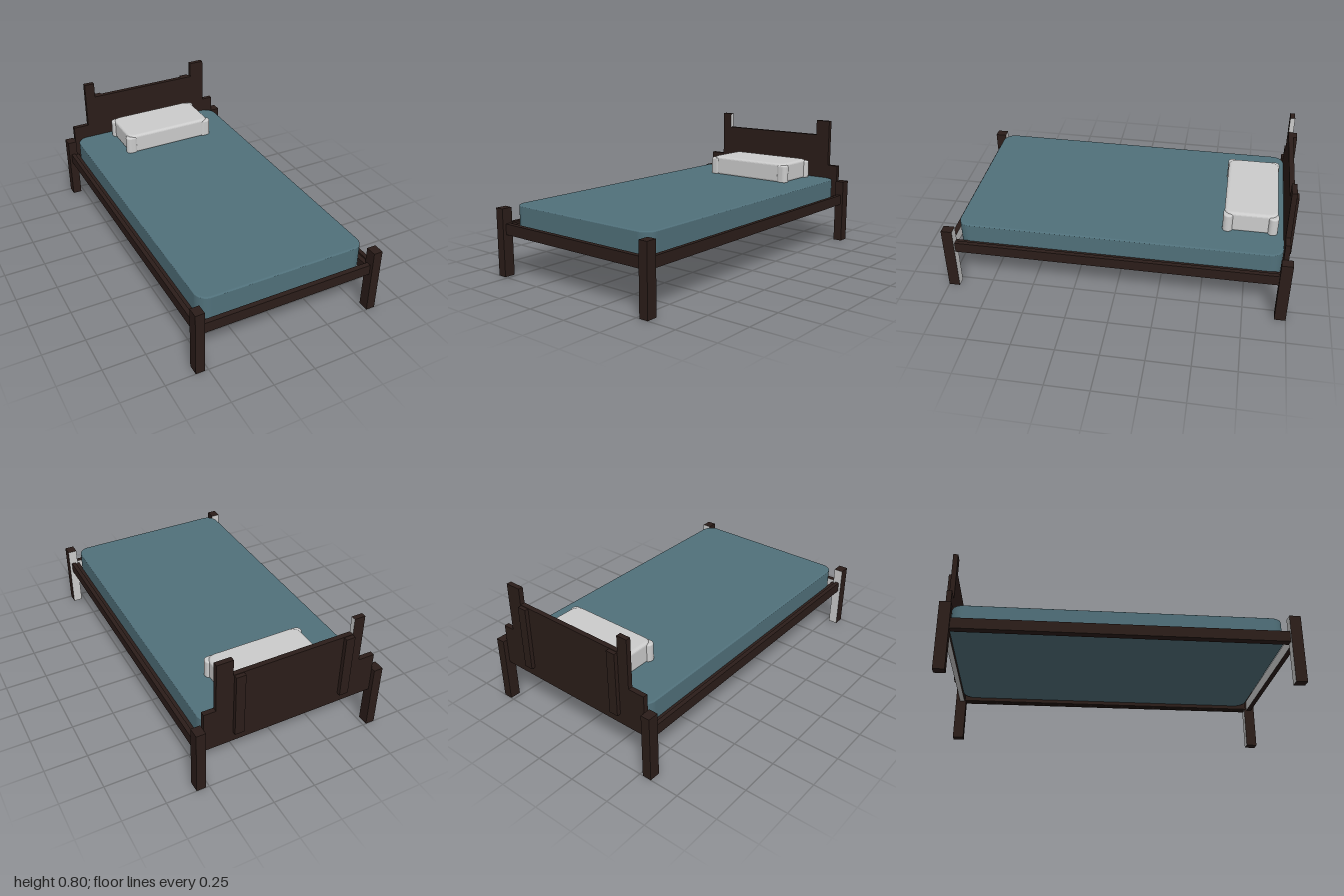
import * as THREE from 'three';

const wood = new THREE.MeshStandardMaterial({ color: 0x2b1d19 });
const teal = new THREE.MeshStandardMaterial({ color: 0x50707a });
const grey = new THREE.MeshStandardMaterial({ color: 0xcccccc });

// Box faces in material order, so single sides can stay unpainted
const SIDES = ['+x', '-x', '+y', '-y', '+z', '-z'];

// Wooden box from its minimum to its maximum corner
function board(name, [x0, y0, z0], [x1, y1, z1], bare = []) {
  const geo = new THREE.BoxGeometry(x1 - x0, y1 - y0, z1 - z0);
  const mat = bare.length ? SIDES.map((s) => (bare.includes(s) ? grey : wood)) : wood;
  const mesh = new THREE.Mesh(geo, mat);
  mesh.name = name;
  mesh.position.set((x0 + x1) / 2, (y0 + y1) / 2, (z0 + z1) / 2);
  return mesh;
}

// Padded block standing on y = 0: rounded plan (radius r) with softened edges
function padded(name, [w, h, d], r, [inset, drop], material) {
  const x = w / 2 - inset, y = d / 2 - inset;
  const plan = new THREE.Shape();
  plan.absarc(x - r, y - r, r, 0, Math.PI / 2);
  plan.absarc(-x + r, y - r, r, Math.PI / 2, Math.PI);
  plan.absarc(-x + r, -y + r, r, Math.PI, Math.PI * 1.5);
  plan.absarc(x - r, -y + r, r, Math.PI * 1.5, Math.PI * 2);
  plan.closePath();
  const geo = new THREE.ExtrudeGeometry(plan, {
    depth: h - 2 * drop, bevelEnabled: true, bevelSize: inset, bevelThickness: drop,
    bevelSegments: 4, curveSegments: 8,
  });
  geo.rotateX(-Math.PI / 2).translate(0, drop, 0);
  const mesh = new THREE.Mesh(geo, material);
  mesh.name = name;
  return mesh;
}

function createFrame() {
  const frame = new THREE.Group();
  frame.name = 'frame';
  for (const [side, s] of [['left', 1], ['right', -1]]) {
    const span = (a, b) => (s > 0 ? [a, b] : [-b, -a]);
    const [p0, p1] = span(0.52, 0.575);
    const [r0, r1] = span(0.535, 0.56);
    const [l0, l1] = span(0.508, 0.535);
    frame.add(
      board(side + 'FrontLeg', [p0, 0, 0.935], [p1, 0.4, 1], ['-z']),
      board(side + 'BackLeg', [p0, 0, -1], [p1, 0.4, -0.935]),
      board(side + 'SideRail', [r0, 0.247, -0.94], [r1, 0.31, 0.94]),
      board(side + 'MattressLedge', [l0, 0.25, -0.94], [l1, 0.3, 0.94])
    );
  }
  frame.add(board('footRail', [-0.53, 0.247, 0.95], [0.53, 0.31, 0.98], ['-z']));
  return frame;
}

function createHeadboard() {
  const head = new THREE.Group();
  head.name = 'headboard';
  const z0 = -0.974, z1 = -0.945;
  head.add(
    board('lowerPanel', [-0.52, 0.25, z0], [0.52, 0.5, z1], ['-y']),
    board('upperPanel', [-0.36, 0.5, z0], [0.36, 0.698, z1]),
    board('rightUpright', [-0.42, 0.5, z0], [-0.355, 0.795, z1], ['+x']),
    board('leftUpright', [0.355, 0.5, z0], [0.45, 0.795, z1]),
    board('rightBatten', [-0.355, 0.31, -0.997], [-0.3, 0.695, z0]),
    board('leftBatten', [0.295, 0.31, -0.997], [0.35, 0.695, z0])
  );
  return head;
}

function createPillow() {
  const pillow = new THREE.Group();
  pillow.name = 'pillow';
  pillow.add(padded('pillowBody', [0.576, 0.125, 0.304], 0.03, [0.02, 0.015], grey));
  // Bulging corners
  for (const sx of [-1, 1]) for (const sz of [-1, 1]) {
    const corner = padded('pillowCorner', [0.075, 0.115, 0.058], 0.018, [0.01, 0.01], grey);
    corner.position.set(sx * 0.267, 0, sz * 0.128);
    pillow.add(corner);
  }
  pillow.position.set(0.031, 0.41, -0.752);
  return pillow;
}

export function createModel() {
  const bed = new THREE.Group();
  bed.name = 'bed';
  const mattress = padded('mattress', [1.024, 0.145, 1.868], 0.06, [0.012, 0.006], teal);
  mattress.position.set(0, 0.27, -0.011);
  bed.add(createFrame(), createHeadboard(), mattress, createPillow());
  return bed;
}
